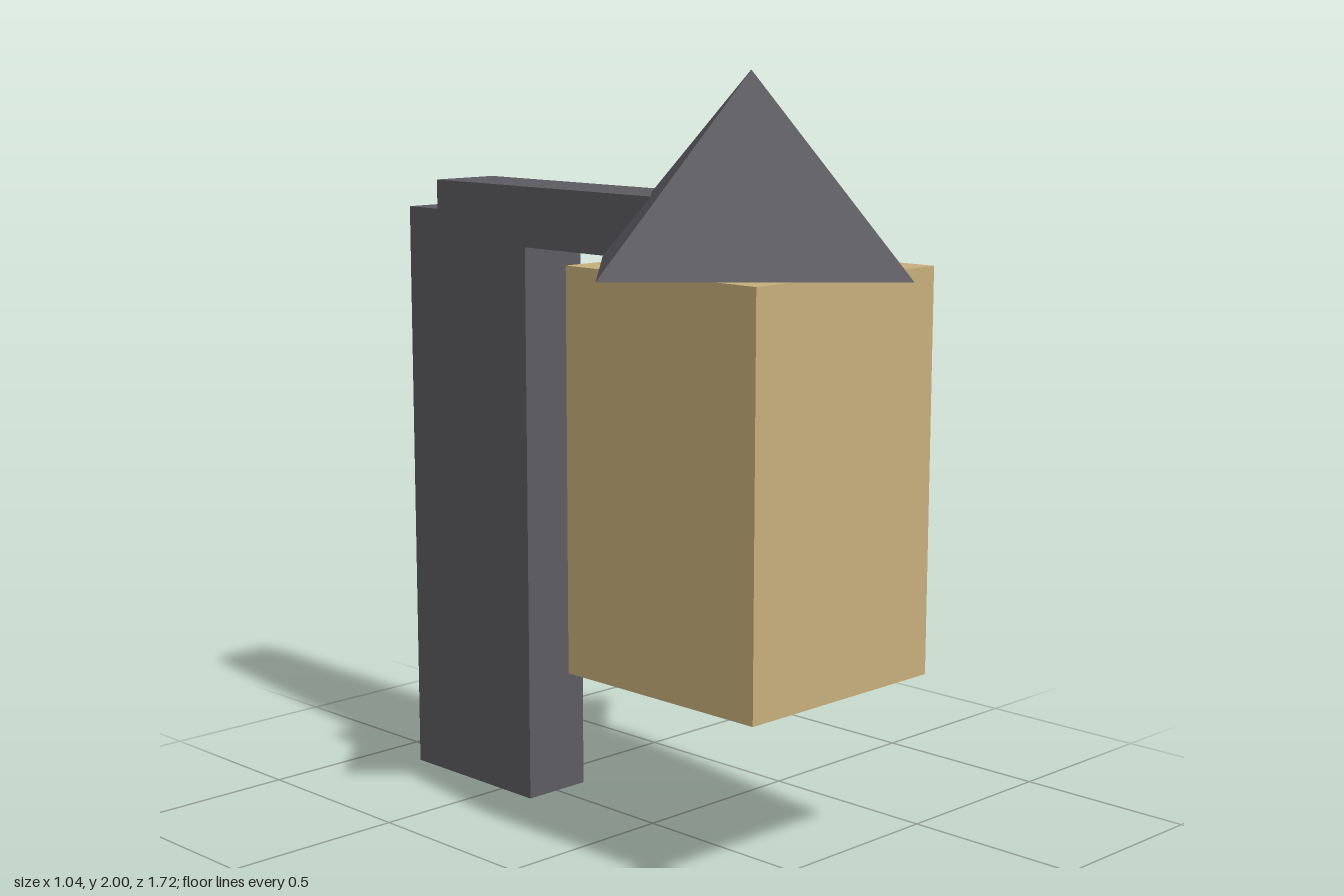
import * as THREE from 'three';

export function createModel() {
  const group = new THREE.Group();
  const tan = new THREE.MeshStandardMaterial({ color: 0xc8b07c });
  tan.name = 'warm tan';
  const grey = new THREE.MeshStandardMaterial({ color: 0x5d5c62 });
  grey.name = 'dark grey';

  // Box given by its width about x = 0 and its y and z ranges
  function addBox(name, width, [y0, y1], [z0, z1], material) {
    const mesh = new THREE.Mesh(new THREE.BoxGeometry(width, y1 - y0, z1 - z0), material);
    mesh.position.set(0, (y0 + y1) / 2, (z0 + z1) / 2);
    mesh.name = name;
    group.add(mesh);
  }

  // Hanging lantern body, wall post and the arm that joins them
  addBox('lanternBody', 0.64, [0.485, 1.524], [0.02, 0.66], tan);
  addBox('post', 0.2, [0, 1.605], [-0.86, -0.38], grey);
  addBox('arm', 0.2, [1.525, 1.685], [-0.74, 0.3], grey);

  // Four-sided roof with its corners on the x and z axes
  const roofGeometry = new THREE.ConeGeometry(0.52, 0.475, 4).toNonIndexed();
  roofGeometry.computeVertexNormals();
  const roof = new THREE.Mesh(roofGeometry, grey);
  roof.position.set(0, 1.7625, 0.34);
  roof.name = 'roof';
  group.add(roof);

  return group;
}
